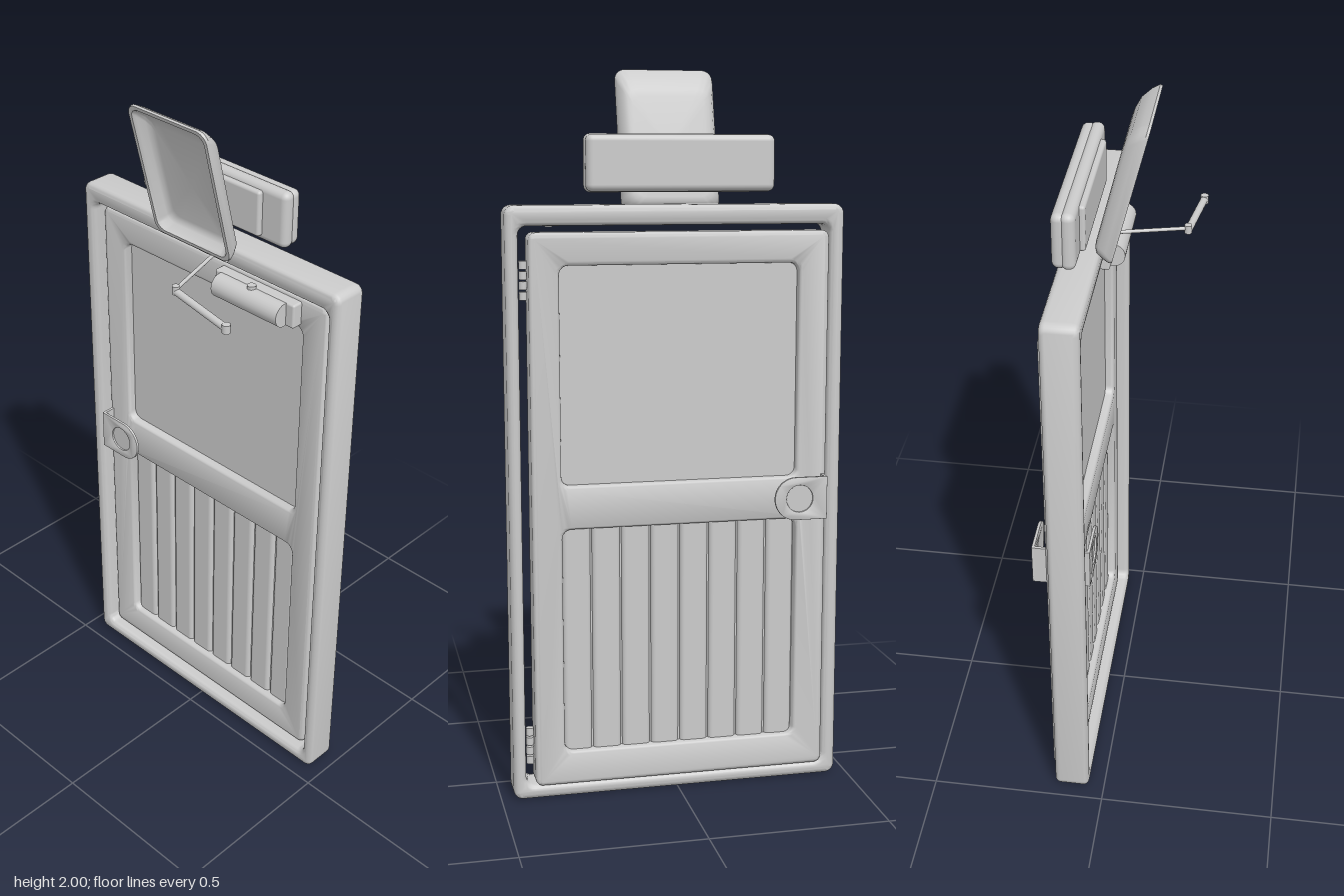
import * as THREE from 'three';
import { toCreasedNormals } from 'three/addons/utils/BufferGeometryUtils.js';
import { RoundedBoxGeometry } from 'three/addons/geometries/RoundedBoxGeometry.js';

const material = new THREE.MeshStandardMaterial({ color: 0xcccccc });

function add(parent, name, geometry, x = 0, y = 0, z = 0) {
  const mesh = new THREE.Mesh(geometry, material);
  mesh.name = name;
  mesh.position.set(x, y, z);
  parent.add(mesh);
  return mesh;
}

// Corner points of a rounded rectangle, counter-clockwise
function roundRect(x0, x1, y0, y1, r, steps = 6) {
  const points = [];
  for (let c = 0; c < 4; c++)
    for (let s = 0; s <= steps; s++) {
      const a = (c + s / steps) * Math.PI / 2;
      const cx = c === 0 || c === 3 ? x1 - r : x0 + r;
      const cy = c < 2 ? y1 - r : y0 + r;
      points.push(new THREE.Vector2(cx + r * Math.cos(a), cy + r * Math.sin(a)));
    }
  return points;
}

// Extrudes a shape between two depths with rounded edges
function slab(shape, z0, z1, bevel) {
  const g = new THREE.ExtrudeGeometry(shape, {
    depth: z1 - z0 - 2 * bevel, bevelSize: bevel, bevelThickness: bevel,
    bevelOffset: -bevel, bevelSegments: 4, curveSegments: 16,
  });
  g.translate(0, 0, z0 + bevel);
  return toCreasedNormals(g, 0.6);
}

// Rounded slab with rounded openings; the outer radius must exceed the bevel
function borderSlab(outer, openings, z0, z1, bevel) {
  const shape = new THREE.Shape(roundRect(...outer));
  for (const o of openings) shape.holes.push(new THREE.Path(roundRect(...o)));
  return slab(shape, z0, z1, bevel);
}

function roundedBox(parent, name, [x0, x1], [y0, y1], [z0, z1], r) {
  return add(parent, name, new RoundedBoxGeometry(x1 - x0, y1 - y0, z1 - z0, 4, r),
    (x0 + x1) / 2, (y0 + y1) / 2, (z0 + z1) / 2);
}

function rod(parent, name, a, b, r) {
  const from = new THREE.Vector3(...a), to = new THREE.Vector3(...b);
  const mesh = add(parent, name, new THREE.CylinderGeometry(r, r, from.distanceTo(to), 24));
  mesh.position.copy(from).lerp(to, 0.5);
  mesh.quaternion.setFromUnitVectors(new THREE.Vector3(0, 1, 0), to.clone().sub(from).normalize());
  return mesh;
}

// Lofts rounded-rectangle rings [halfWidth, yLow, yHigh, z, radius], back to front
function loft(rings) {
  const pos = [], index = [];
  let n = 0;
  for (const [w, y0, y1, z, r] of rings) {
    const points = roundRect(-w, w, y0, y1, r);
    n = points.length;
    for (const p of points) pos.push(p.x, p.y, z);
  }
  for (let k = 0; k < rings.length - 1; k++)
    for (let i = 0; i < n; i++) {
      const a = k * n + i, b = k * n + (i + 1) % n;
      index.push(a, b, b + n, a, b + n, a + n);
    }
  const g = new THREE.BufferGeometry();
  g.setAttribute('position', new THREE.Float32BufferAttribute(pos, 3));
  g.setIndex(index);
  return toCreasedNormals(g, 0.8);
}

export function createModel() {
  const model = new THREE.Group();
  model.name = 'door';

  // Surrounding frame
  add(model, 'doorFrame', borderSlab([-0.466, 0.466, 0, 1.636, 0.026],
    [[-0.426, 0.431, 0.04, 1.582, 0.024]], -0.145, -0.045, 0.016));

  // Door leaf with an upper and a lower opening
  const leaf = new THREE.Group();
  leaf.name = 'doorLeaf';
  model.add(leaf);
  add(leaf, 'leafBorder', borderSlab([-0.42, 0.406, 0.04, 1.565, 0.02],
    [[-0.335, 0.325, 0.885, 1.478, 0.025], [-0.334, 0.324, 0.135, 0.765, 0.025]], -0.157, -0.076, 0.012));
  add(leaf, 'upperPane', new THREE.BoxGeometry(0.68, 0.62, 0.03), -0.005, 1.182, -0.117);

  // Vertical planks of the lower panel, over a thin core board
  add(leaf, 'plankCore', new THREE.BoxGeometry(0.68, 0.66, 0.02), -0.005, 0.45, -0.117);
  const planks = 8, pitch = 0.66 / planks;
  for (let i = 0; i < planks; i++) {
    const x = -0.335 + i * pitch;
    roundedBox(leaf, 'plank', [x + 0.002, x + pitch - 0.002], [0.115, 0.785], [-0.138, -0.096], 0.014);
  }

  // Lock: a bent plate on both faces, each with a recessed disc
  const plate = new THREE.Shape();
  plate.moveTo(-0.412, 0.77);
  plate.lineTo(-0.322, 0.77);
  plate.absarc(-0.322, 0.83, 0.06, -Math.PI / 2, Math.PI / 2);
  plate.lineTo(-0.412, 0.89);
  plate.holes.push(new THREE.Path().absarc(-0.333, 0.83, 0.038, 0, Math.PI * 2));
  for (const [side, outer, inward, depth] of [['front', -0.037, -1, 0.043], ['back', -0.195, 1, 0.042]]) {
    const lock = new THREE.Group();
    lock.name = side + 'Lock';
    model.add(lock);
    const inner = outer + inward * 0.008;
    add(lock, 'lockPlate', slab(plate, Math.min(outer, inner), Math.max(outer, inner), 0.001));
    add(lock, 'lockSide', new THREE.BoxGeometry(0.008, 0.12, depth - 0.002), -0.408, 0.83, outer + inward * (depth / 2 + 0.001));
    rod(lock, 'lockDisc', [-0.333, 0.83, outer + inward * 0.005], [-0.333, 0.83, inner], 0.039);
  }

  // Hinges: stacked barrels in the gap between leaf and frame
  for (const y of [1.44, 0.155])
    for (let i = -1.5; i <= 1.5; i++)
      add(model, 'hingeBarrel', new THREE.CylinderGeometry(0.011, 0.011, 0.022, 12), 0.419, y + i * 0.027, -0.132);

  // Sign box above the frame
  const sign = new THREE.Group();
  sign.name = 'signBox';
  model.add(sign);
  roundedBox(sign, 'signBack', [-0.268, 0.248], [1.67, 1.82], [-0.145, -0.106], 0.018);
  roundedBox(sign, 'signBody', [-0.27, 0.25], [1.668, 1.822], [-0.122, -0.084], 0.018);
  roundedBox(sign, 'signFront', [-0.195, 0.172], [1.683, 1.808], [-0.1, -0.07], 0.008);

  // Lamp shade: shallow tray leaning forward
  const shade = add(model, 'lampShade', loft([
    [0, -0.03, -0.03, -0.05, 0],
    [0.1, -0.168, 0.11, -0.05, 0.025],
    [0.112, -0.18, 0.13, -0.048, 0.028],
    [0.124, -0.19, 0.158, -0.04, 0.03],
    [0.134, -0.197, 0.185, -0.02, 0.032],
    [0.138, -0.2, 0.198, -0.004, 0.03],
    [0.136, -0.198, 0.197, 0.003, 0.03],
    [0.126, -0.188, 0.187, 0.003, 0.026],
    [0.121, -0.184, 0.181, -0.006, 0.026],
    [0.114, -0.177, 0.16, -0.025, 0.026],
    [0.105, -0.168, 0.142, -0.033, 0.025],
    [0.094, -0.157, 0.125, -0.035, 0.025],
    [0, -0.03, -0.03, -0.035, 0],
  ]), -0.006, 1.805, 0.03);
  shade.rotation.x = 0.25;

  // Door closer with its folding arm
  const closer = new THREE.Group();
  closer.name = 'doorCloser';
  model.add(closer);
  roundedBox(closer, 'closerMount', [0.045, 0.322], [1.487, 1.555], [-0.09, -0.046], 0.006);
  rod(closer, 'closerBody', [0.068, 1.521, -0.04], [0.296, 1.521, -0.04], 0.033);
  rod(closer, 'closerPivot', [0.18, 1.53, -0.042], [0.18, 1.562, -0.042], 0.012);
  rod(closer, 'armBracket', [0.0, 1.603, -0.04], [0.095, 1.603, -0.04], 0.008);
  rod(closer, 'upperArm', [0.048, 1.602, -0.04], [0.104, 1.598, 0.155], 0.005);
  rod(closer, 'elbowPin', [0.104, 1.585, 0.155], [0.104, 1.608, 0.155], 0.01);
  rod(closer, 'lowerArm', [0.104, 1.592, 0.155], [0.305, 1.578, 0.18], 0.01);
  rod(closer, 'armEnd', [0.303, 1.567, 0.18], [0.303, 1.59, 0.18], 0.011);

  return model;
}
